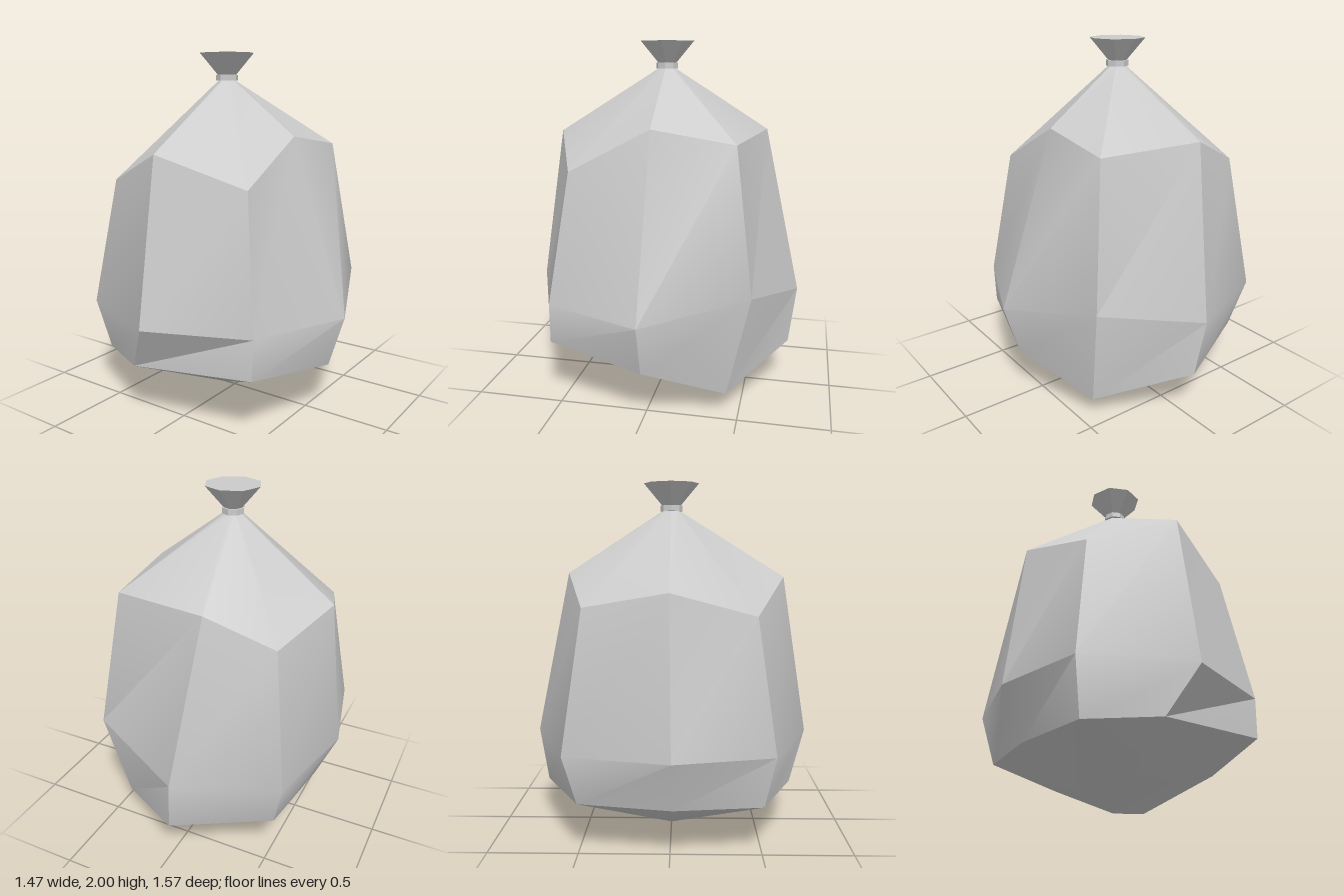
import * as THREE from 'three';
import { toCreasedNormals } from 'three/addons/utils/BufferGeometryUtils.js';

const SIDES = 8;
const AXIS_X = -0.055;

// Skin between eight-sided cross-sections, listed from bottom to top
function loft(rings) {
  const position = rings.flat(2);
  const index = [];
  for (let r = 0; r < rings.length - 1; r++) {
    for (let i = 0; i < SIDES; i++) {
      const j = (i + 1) % SIDES;
      const a = r * SIDES + i, b = r * SIDES + j;
      const d = a + SIDES, c = b + SIDES;
      if (r > 0) index.push(a, d, b); // the first ring is a single point
      index.push(d, c, b);
    }
  }
  const geometry = new THREE.BufferGeometry();
  geometry.setAttribute('position', new THREE.Float32BufferAttribute(position, 3));
  geometry.setIndex(index);
  return toCreasedNormals(geometry, 0.5);
}

// Regular cross-section around the axis of the bag
function regularRing(radius, y) {
  return Array.from({ length: SIDES }, (_, i) => {
    const t = (i / SIDES) * Math.PI * 2;
    return [AXIS_X + Math.cos(t) * radius, y, Math.sin(t) * radius];
  });
}

export function createModel() {
  const group = new THREE.Group();
  const material = new THREE.MeshStandardMaterial({ color: 0xcccccc });
  const flat = new THREE.MeshStandardMaterial({ color: 0xcccccc, flatShading: true });

  const add = (name, geometry, mat, y = 0) => {
    const mesh = new THREE.Mesh(geometry, mat);
    mesh.name = name;
    if (y) mesh.position.set(AXIS_X, y, 0);
    group.add(mesh);
  };

  // Sagging cross-sections, each starting at +x and turning towards +z
  const base = [
    [0.64, 0.29, 0], [0.49, 0.355, 0.555], [-0.2, 0.315, 0.68], [-0.55, 0.29, 0.5],
    [-0.61, 0.29, 0.015], [-0.545, 0.3, -0.495], [-0.02, 0.26, -0.745], [0.435, 0.115, -0.43],
  ];
  const belly = [
    [0.73, 0.58, 0], [0.5, 0.58, 0.553], [AXIS_X, 0.58, 0.785], [-0.61, 0.58, 0.553],
    [-0.735, 0.58, 0.01], [-0.61, 0.58, -0.56], [AXIS_X, 0.58, -0.785], [0.5, 0.7, -0.56],
  ];
  const shoulder = [
    [0.392, 1.55, 0], [0.395, 1.31, 0.453], [AXIS_X, 1.48, 0.64], [-0.51, 1.295, 0.453],
    [-0.645, 1.425, 0], [-0.51, 1.34, -0.455], [-0.16, 1.505, -0.57], [0.395, 1.48, -0.455],
  ];
  add('bagBody', loft([
    regularRing(0, 0), base, belly, shoulder, regularRing(0.045, 1.85), regularRing(0.045, 1.88),
  ]), material);

  // Tie around the neck and the flared end above it
  add('tie', new THREE.CylinderGeometry(0.063, 0.063, 0.032, SIDES), flat, 1.863);
  add('flaredTop', new THREE.CylinderGeometry(0.155, 0.045, 0.13, SIDES), flat, 1.935);

  return group;
}
